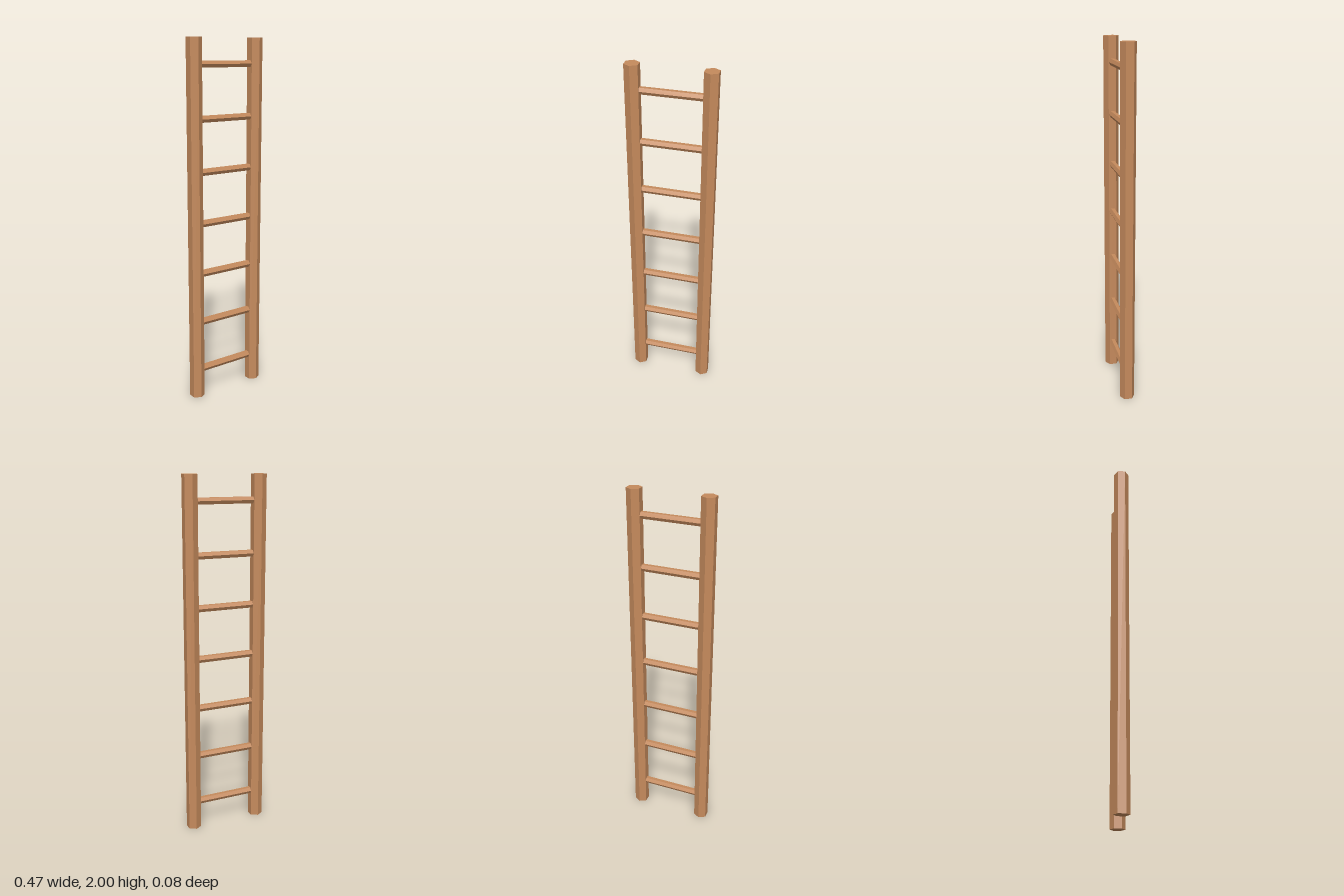
import * as THREE from 'three';

export function createModel() {
  const group = new THREE.Group();
  group.name = 'ladder';
  const wood = new THREE.MeshStandardMaterial({ color: 0xc58a5c, flatShading: true });
  wood.name = 'wood';

  // Hexagonal upright rails, with a corner facing front and back
  const railGeometry = new THREE.CylinderGeometry(0.042, 0.042, 2, 6);
  for (const side of [-1, 1]) {
    const rail = new THREE.Mesh(railGeometry, wood);
    rail.name = side > 0 ? 'leftRail' : 'rightRail';
    rail.position.set(side * 0.2, 1, 0);
    group.add(rail);
  }

  // Seven evenly spaced hexagonal rungs, with a flat side on top
  const rungGeometry = new THREE.CylinderGeometry(0.0203, 0.0203, 0.4, 6).rotateZ(Math.PI / 2);
  for (let i = 0; i < 7; i++) {
    const rung = new THREE.Mesh(rungGeometry, wood);
    rung.name = `rung${i + 1}`;
    rung.position.y = 0.157 + i * 0.2843;
    group.add(rung);
  }
  return group;
}
